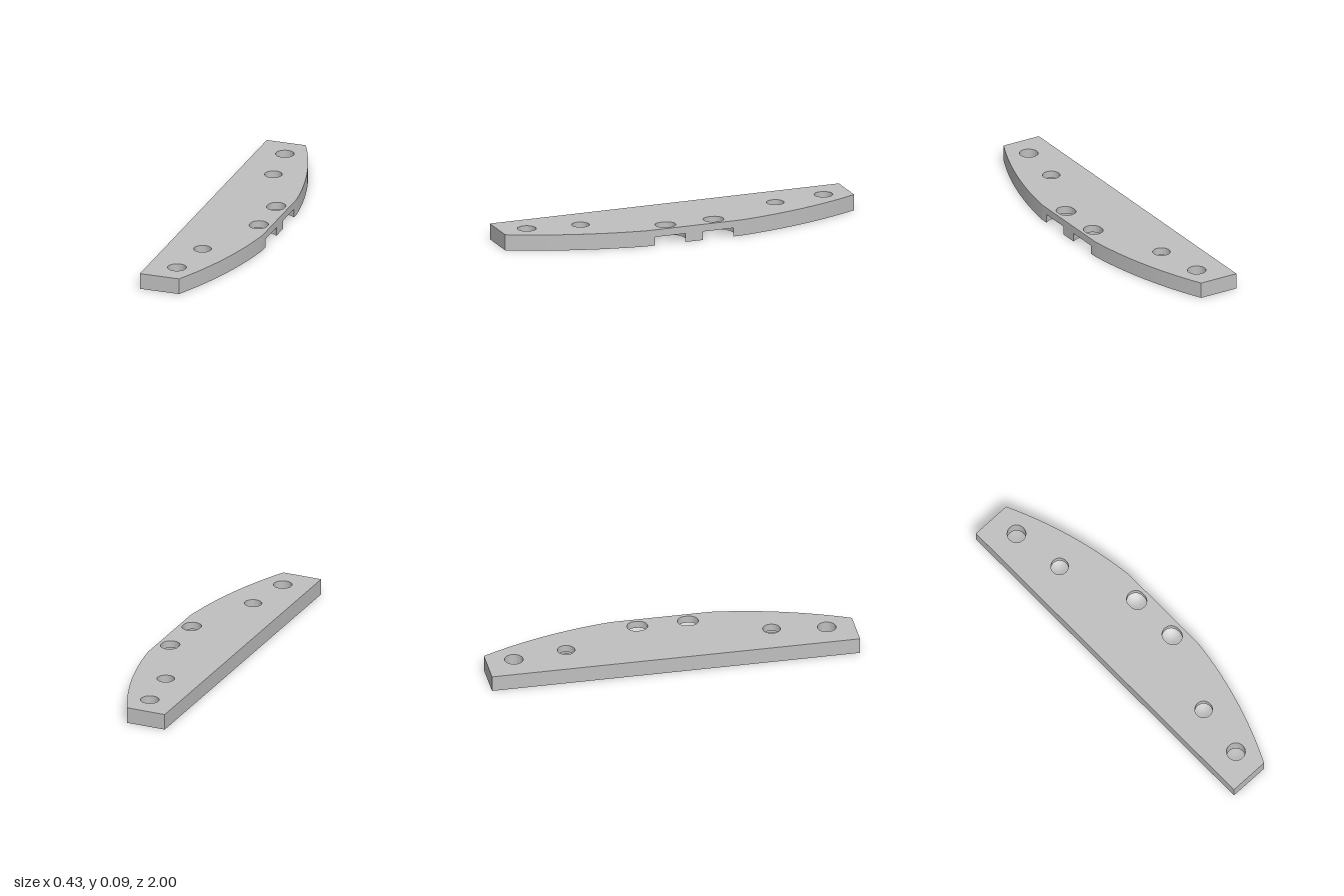
import * as THREE from 'three';
import { toCreasedNormals } from 'three/addons/utils/BufferGeometryUtils.js';

const HALF_WIDTH = 0.216, TIP_X = 0.005, FLAT_Z = 0.27;
const HEIGHT = 0.087, BORE_DEPTH = 0.047;
const SLOT = { x: 0.147, z: 0.1375, shift: 0.007 };
const BORE_R = 0.105;

// Circle, centred on z = 0, that carries the curved edge from the flat to each tip
const ARC = (() => {
  const drop = HALF_WIDTH - TIP_X;
  const sum = (1 - FLAT_Z ** 2) / drop;
  const run = (sum - drop) / 2;
  return { x: TIP_X - run, r: Math.hypot(run, 1) };
})();

// Plan outline; optionally with the two counterbores that break through the flat edge
function outline(notched) {
  const s = new THREE.Shape();
  const tip = Math.asin(1 / ARC.r), flat = Math.asin(FLAT_Z / ARC.r);
  s.moveTo(-HALF_WIDTH, -1);
  s.lineTo(TIP_X, -1);
  s.absarc(ARC.x, 0, ARC.r, -tip, -flat, false);
  if (notched) {
    const a = Math.acos((HALF_WIDTH - SLOT.x) / BORE_R);
    for (const c of [-SLOT.z, SLOT.z]) {
      s.absarc(SLOT.x, c - SLOT.shift, BORE_R, -a, -Math.PI, true);
      s.absarc(SLOT.x, c + SLOT.shift, BORE_R, Math.PI, a, true);
    }
  }
  s.absarc(ARC.x, 0, ARC.r, flat, tip, false);
  s.lineTo(-HALF_WIDTH, 1);
  s.closePath();
  return s;
}

// Round hole, or a short slot along z when shift is given
function addHole(shape, x, z, r, shift = 0) {
  const p = new THREE.Path();
  if (shift) {
    p.absarc(x, z + shift, r, 0, Math.PI, false);
    p.absarc(x, z - shift, r, Math.PI, Math.PI * 2, false);
    p.closePath();
  } else {
    p.absarc(x, z, r, 0, Math.PI * 2, false);
  }
  shape.holes.push(p);
}

function layer(shape, y0, y1, material, name) {
  const g = new THREE.ExtrudeGeometry(shape, { depth: y1 - y0, bevelEnabled: false, curveSegments: 32 });
  g.rotateX(-Math.PI / 2);
  g.translate(0, y0, 0);
  const mesh = new THREE.Mesh(toCreasedNormals(g, 0.3), material);
  mesh.name = name;
  return mesh;
}

export function createModel() {
  const metal = new THREE.MeshStandardMaterial({ color: 0xbfbfbf });
  metal.name = 'plain grey';

  const lower = outline(true), upper = outline(false);
  for (const side of [-1, 1]) {
    // End holes run straight through
    addHole(lower, -0.06, side * 0.85, 0.05);
    addHole(upper, -0.06, side * 0.85, 0.05);
    // Intermediate holes are counterbored from below
    addHole(lower, -0.02, side * 0.558, BORE_R);
    addHole(upper, -0.02, side * 0.558, 0.047);
    // Middle slots sit above the open counterbores
    addHole(upper, SLOT.x, side * SLOT.z, 0.049, SLOT.shift);
  }

  const model = new THREE.Group();
  model.name = 'mountingPlate';
  model.add(
    layer(lower, 0, BORE_DEPTH, metal, 'counterboredLowerPlate'),
    layer(upper, BORE_DEPTH, HEIGHT, metal, 'upperPlate')
  );
  return model;
}
